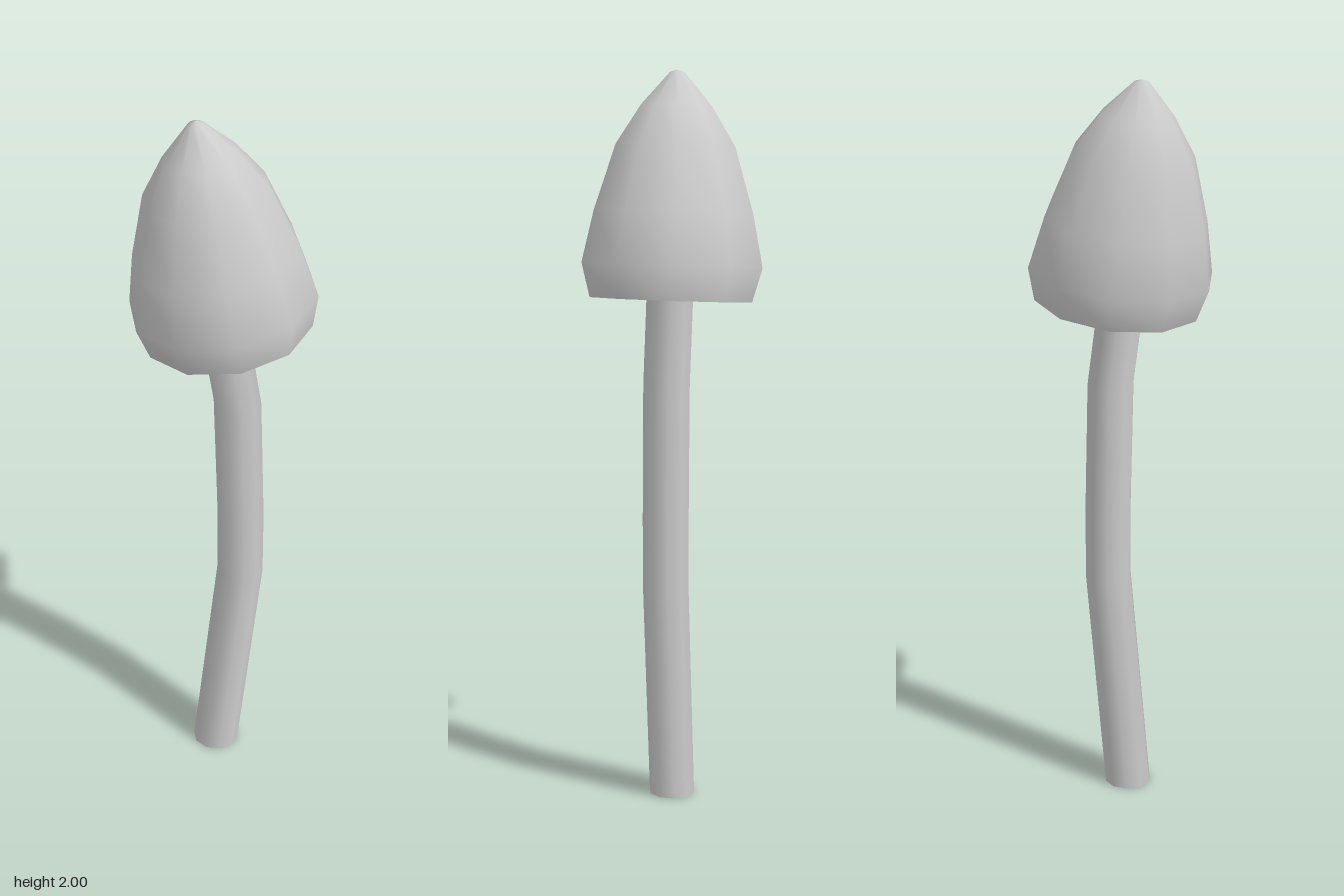
import * as THREE from 'three';

const SIDES = 10;

export function createModel() {
  const model = new THREE.Group();
  const material = new THREE.MeshStandardMaterial({ color: 0xcccccc, side: THREE.DoubleSide });

  // Bent stem: rings of a cylinder moved onto a path of [x, y] centres
  const path = [[-0.03, 0], [0.04, 0.61], [0.041, 0.8], [0.031, 1.17], [-0.005, 1.4], [-0.04, 1.62]];
  const last = path.length - 1;
  const stemGeometry = new THREE.CylinderGeometry(0.064, 0.064, last, SIDES, last);
  const pos = stemGeometry.attributes.position;
  for (let i = 0; i < pos.count; i++) {
    const [x, y] = path[Math.round(pos.getY(i) + last / 2)];
    pos.setXYZ(i, pos.getX(i) + x, y, pos.getZ(i) + 0.003);
  }
  const stem = new THREE.Mesh(stemGeometry, material);
  stem.name = 'stem';
  model.add(stem);

  // Hollow, tilted cap: turned profile of [radius, height], open below
  const profile = [[0.225, 0], [0.25, 0.09], [0.22, 0.23], [0.165, 0.405], [0.098, 0.51], [0.02, 0.598], [0, 0.605]];
  const capGeometry = new THREE.LatheGeometry(
    profile.map(([r, y]) => new THREE.Vector2(r, y)), SIDES, -0.03);
  const cap = new THREE.Mesh(capGeometry, material);
  cap.name = 'cap';
  cap.position.set(0.005, 1.4, 0);
  cap.rotation.z = 0.137;
  model.add(cap);

  return model;
}
